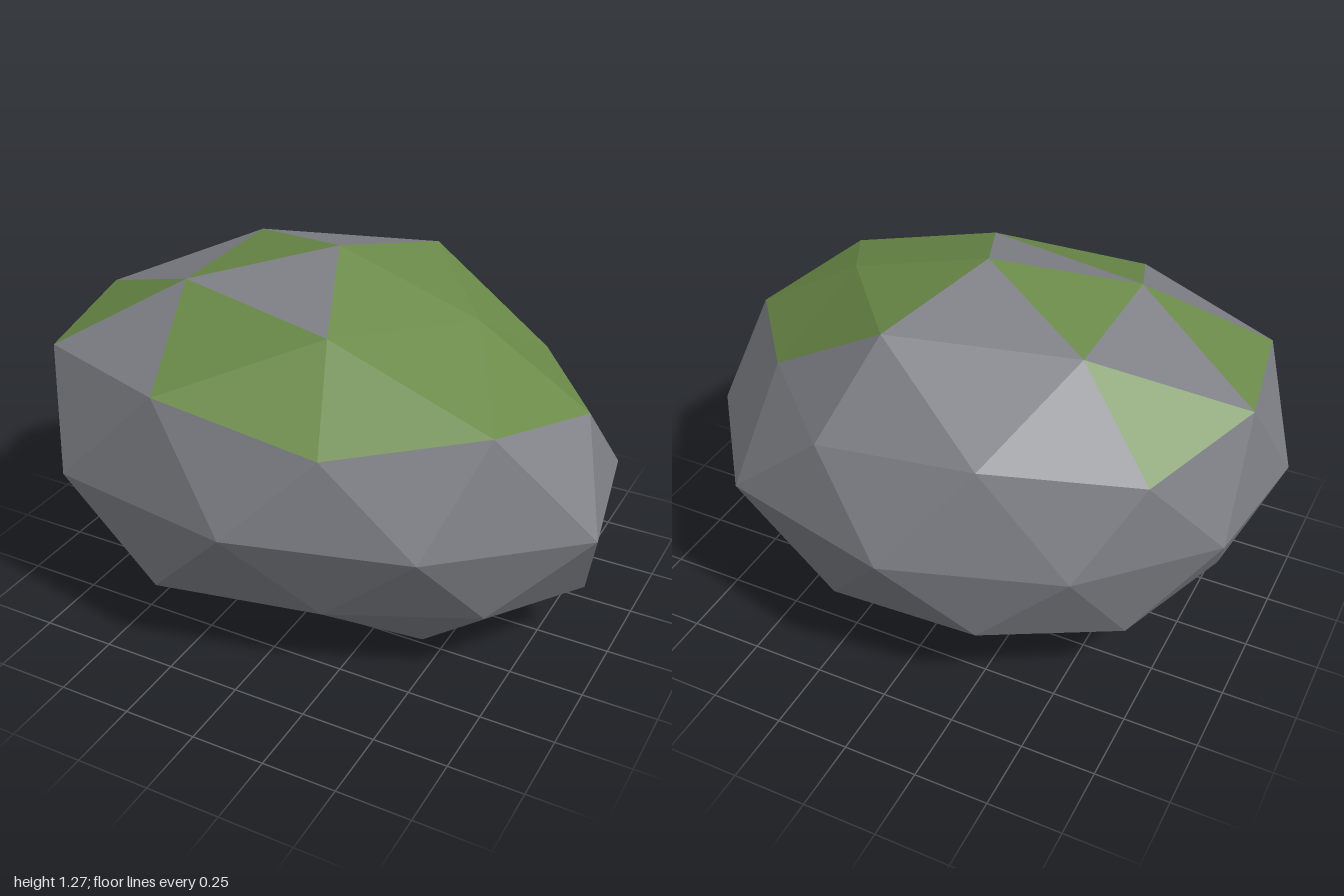
import * as THREE from 'three';

const CENTRE = new THREE.Vector3(-0.015, 0.598, 0);
const SCALE = new THREE.Vector3(1, 0.645, 0.775);

// Ring of points on a sphere, each pushed in or out by its own radius, then squashed.
function ring(height, startDeg, radii) {
  const flat = Math.sqrt(1 - height * height);
  return radii.map((r, i) => {
    const a = THREE.MathUtils.degToRad(startDeg + (i * 360) / radii.length);
    return new THREE.Vector3(flat * Math.cos(a), height, flat * Math.sin(a))
      .multiplyScalar(r).multiply(SCALE).add(CENTRE);
  });
}

function facetMesh(name, points, material) {
  const geometry = new THREE.BufferGeometry().setFromPoints(points);
  geometry.computeVertexNormals();
  const mesh = new THREE.Mesh(geometry, material);
  mesh.name = name;
  return mesh;
}

export function createModel() {
  const stone = new THREE.MeshStandardMaterial({ color: 0x7f8187, flatShading: true });
  stone.name = 'stone grey';
  const moss = new THREE.MeshStandardMaterial({ color: 0x6a8a48, flatShading: true });
  moss.name = 'moss green';

  // Rings of a once-subdivided icosahedron, from top to bottom
  const [top] = ring(1, 0, [1.04]);
  const cap = ring(0.851, 0, [0.94, 0.98, 1.02, 1.02, 1.04]);
  const upper = ring(0.447, 0, [0.98, 1.0, 1.14, 1.0, 0.99]);
  const upperMid = ring(0.526, 36, [1.05, 1.09, 1.065, 0.985, 0.88]);
  const belt = ring(0, 18, [1.067, 1.0, 1.02, 1.105, 1.036, 0.97, 0.96, 1.02, 1.025, 0.965]);
  const lower = ring(-0.447, 36, [1.0, 1.08, 0.95, 0.99, 0.965]);
  const lowerMid = ring(-0.526, 0, [1.075, 0.94, 0.99, 0.98, 1.0]);
  const base = ring(-0.851, 36, [1.055, 0.96, 1.03, 0.955, 1.04]);
  const [bottom] = ring(-1, 0, [0.925]);

  // Moss on the top facets: corner a, corner b, corner c, centre of each sector
  const mossMap = ['1111', '0011', '1110', '0000', '1101'];
  const stonePoints = [];
  const mossPoints = [];

  // Split a large triangle into four facets
  function split(a, b, c, ab, bc, ca, mask = '0000') {
    [[a, ab, ca], [b, bc, ab], [c, ca, bc], [ab, bc, ca]].forEach((tri, i) => {
      (mask[i] === '1' ? mossPoints : stonePoints).push(...tri);
    });
  }

  for (let k = 0; k < 5; k++) {
    const next = (k + 1) % 5;
    const prev = (k + 4) % 5;
    const e = belt[2 * k];
    const eNext = belt[2 * k + 1];
    const ePrev = belt[(2 * k + 9) % 10];
    split(top, upper[next], upper[k], cap[next], upperMid[k], cap[k], mossMap[k]);
    split(upper[k], upper[next], lower[k], upperMid[k], eNext, e);
    split(upper[k], lower[k], lower[prev], e, lowerMid[k], ePrev);
    split(lower[prev], lower[k], bottom, lowerMid[k], base[k], base[prev]);
  }

  const rock = new THREE.Group();
  rock.name = 'mossyRock';
  rock.add(facetMesh('stoneFacets', stonePoints, stone), facetMesh('mossFacets', mossPoints, moss));
  return rock;
}
